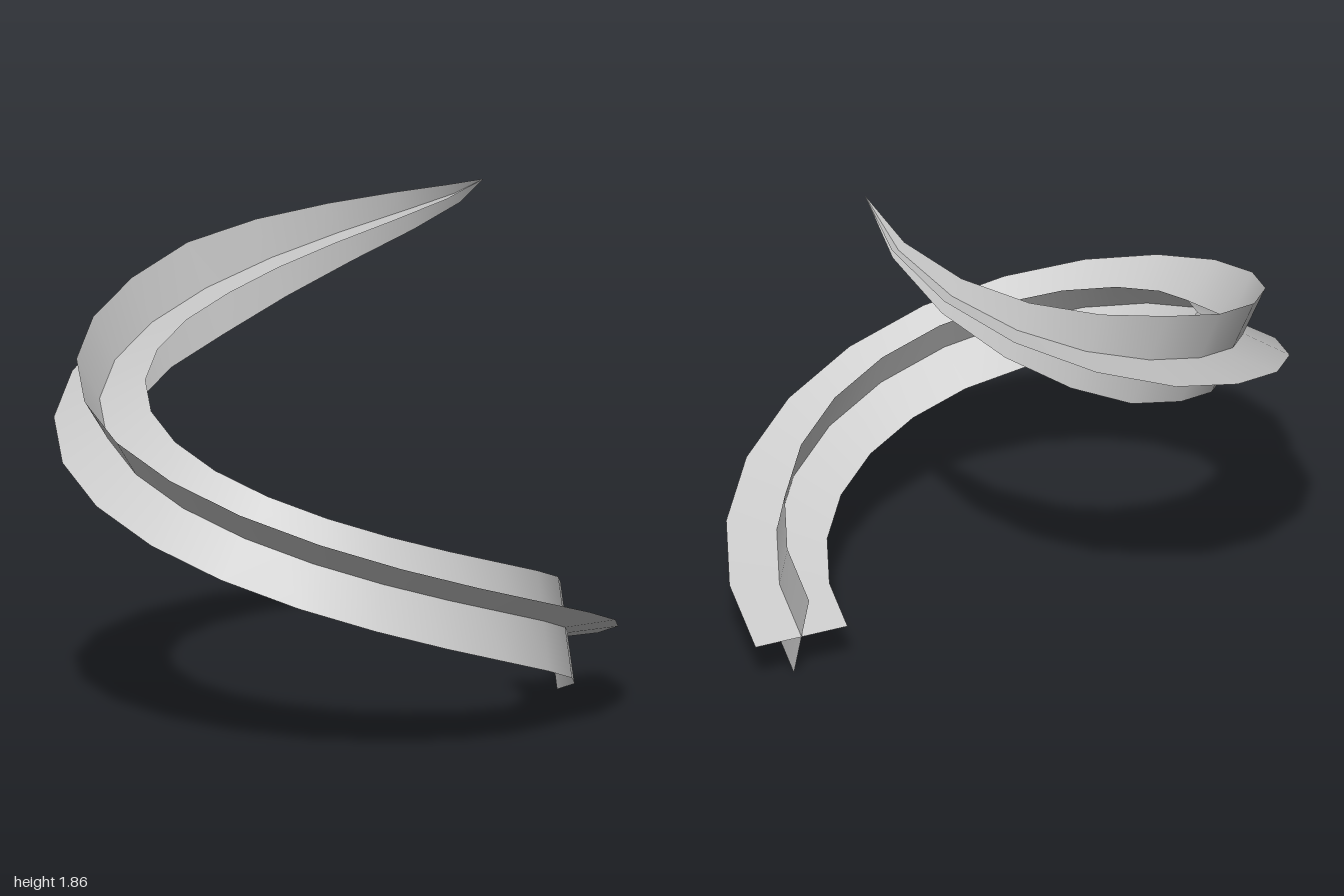
import * as THREE from 'three';

const SEGMENTS = 20;
const HALF_WIDTH = 0.18;

// Rising spiral of one turn whose radius shrinks towards the top
class Spiral extends THREE.Curve {
  getPoint(t, target = new THREE.Vector3()) {
    const angle = THREE.MathUtils.degToRad(3 + 366 * t);
    const radius = 0.911 - 0.285 * t;
    return target.set(
      -0.091 + radius * Math.cos(angle),
      0.173 + 1.687 * t,
      -0.069 + radius * Math.sin(angle)
    );
  }
}

// Full width for most of the length, then narrowing to a point
const widthAt = (t) => HALF_WIDTH * Math.min(1, 4.2 * (1 - t));

// Flat strip along the curve, spread to both sides along the given directions
function ribbon(name, curve, directions, material) {
  const positions = [];
  const index = [];
  for (let i = 0; i <= SEGMENTS; i++) {
    const t = i / SEGMENTS;
    const centre = curve.getPointAt(t);
    for (const side of [-1, 1]) {
      const p = centre.clone().addScaledVector(directions[i], side * widthAt(t));
      positions.push(p.x, p.y, p.z);
    }
    if (i < SEGMENTS) {
      const a = 2 * i;
      index.push(a, a + 1, a + 2, a + 1, a + 3, a + 2);
    }
  }
  const geometry = new THREE.BufferGeometry();
  geometry.setAttribute('position', new THREE.Float32BufferAttribute(positions, 3));
  geometry.setIndex(index);
  geometry.computeVertexNormals();
  const mesh = new THREE.Mesh(geometry, material);
  mesh.name = name;
  return mesh;
}

export function createModel() {
  const group = new THREE.Group();
  group.name = 'spiralTrail';
  const material = new THREE.MeshStandardMaterial({ color: 0xcccccc, side: THREE.DoubleSide });

  // Two ribbons crossing at right angles, twisting gently with the curve
  const curve = new Spiral();
  const frames = curve.computeFrenetFrames(SEGMENTS, false);
  group.add(ribbon('flatRibbon', curve, frames.normals, material));
  group.add(ribbon('uprightRibbon', curve, frames.binormals, material));
  return group;
}
